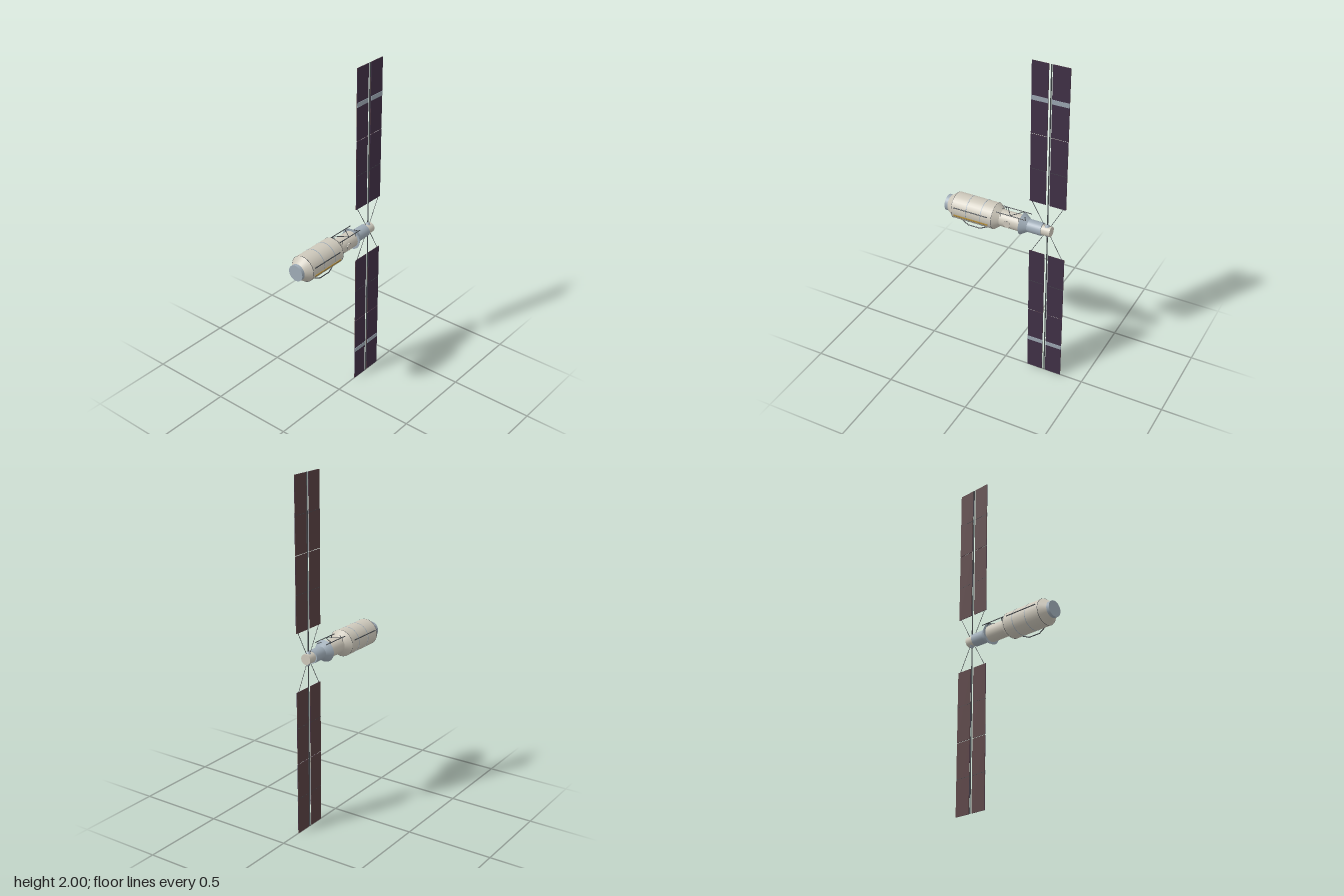
import * as THREE from 'three';

const material = (name, color, side = THREE.FrontSide) => {
  const m = new THREE.MeshStandardMaterial({ color, side });
  m.name = name;
  return m;
};

export function createModel() {
  const hull = material('hull beige', 0xcdc8bb);
  const blue = material('blue grey metal', 0x9eabb6);
  const dark = material('dark rail', 0x44484c);
  const gold = material('gold strip', 0xb08d3e);
  const cellFront = material('solar cell purple', 0x403046);
  const cellBack = material('solar back brown', 0x573f41);
  const band = material('pale panel band', 0x9aa5b0);

  const model = new THREE.Group();
  model.name = 'spaceStationModule';
  // everything on the module is placed relative to its long axis
  const craft = new THREE.Group();
  craft.name = 'craft';
  craft.position.y = 1;
  model.add(craft);

  const add = (name, geometry, mat, x = 0, y = 0, z = 0) => {
    const mesh = new THREE.Mesh(geometry, mat);
    mesh.name = name;
    mesh.position.set(x, y, z);
    craft.add(mesh);
    return mesh;
  };
  const box = (name, mat, x0, x1, y0, y1, z0, z1) =>
    add(name, new THREE.BoxGeometry(x1 - x0, y1 - y0, z1 - z0), mat,
      (x0 + x1) / 2, (y0 + y1) / 2, (z0 + z1) / 2);
  // hull section along x, from radius r0 to radius r1
  const section = (name, mat, x0, x1, r0, r1 = r0) => {
    const g = new THREE.CylinderGeometry(r1, r0, x1 - x0, 32);
    g.rotateZ(-Math.PI / 2);
    return add(name, g, mat, (x0 + x1) / 2);
  };
  // thin round bar between two points
  const rod = (name, a, b, r, mat = dark) => {
    const from = new THREE.Vector3(...a), to = new THREE.Vector3(...b);
    const dir = to.clone().sub(from);
    const mesh = add(name, new THREE.CylinderGeometry(r, r, dir.length(), 8), mat);
    mesh.position.copy(from).add(to).multiplyScalar(0.5);
    mesh.quaternion.setFromUnitVectors(new THREE.Vector3(0, 1, 0), dir.normalize());
    return mesh;
  };
  const path = (name, points, r) => {
    for (let i = 1; i < points.length; i++) rod(name, points[i - 1], points[i], r);
  };

  // pressure hull, from the docking end to the mast end
  section('dockingRing', blue, -0.364, -0.345, 0.047);
  section('rearCone', hull, -0.345, -0.305, 0.047, 0.076);
  section('mainHull', hull, -0.305, -0.055, 0.076);
  section('frontCone', hull, -0.055, -0.02, 0.076, 0.048);
  section('neck', hull, -0.02, 0.106, 0.048);
  section('skirt', blue, 0.105, 0.145, 0.062, 0.037);
  section('forwardTube', blue, 0.145, 0.228, 0.037);
  section('mastNode', hull, 0.228, 0.28, 0.03);

  // seam rings around the main hull
  for (const x of [-0.213, -0.122]) section('seamRing', blue, x - 0.002, x + 0.002, 0.0768);
  for (const x of [-0.305, -0.056]) section('hullEdgeRing', dark, x - 0.001, x + 0.001, 0.0765);

  // side rails and gold strip
  for (const s of [1, -1]) {
    rod('sideRail', [-0.29, 0.025, 0.0735 * s], [-0.08, 0.025, 0.0735 * s], 0.003);
  }
  box('goldStrip', gold, -0.288, -0.076, -0.027, -0.019, 0.068, 0.0765);
  rod('goldStripRail', [-0.29, -0.029, 0.0725], [-0.076, -0.029, 0.0725], 0.0015);

  // bowed boom under the hull
  path('lowerBoom', [[-0.27, -0.062, 0.033], [-0.215, -0.083, 0.044],
    [-0.14, -0.083, 0.044], [-0.09, -0.062, 0.033]], 0.003);

  // truss above the neck
  for (const z of [-0.037, 0.035]) {
    rod('trussRail', [-0.04, 0.052, z], [0.142, 0.052, z], 0.0025);
    for (const x of [-0.012, 0.098]) rod('trussPost', [x, 0.03, z], [x, 0.052, z], 0.002);
  }
  path('trussBrace', [[-0.028, 0.052, -0.01], [-0.005, 0.052, -0.037], [0.045, 0.052, 0.032],
    [0.095, 0.052, -0.037], [0.108, 0.052, -0.018]], 0.002);
  rod('trussBrace', [0.122, 0.052, 0.008], [0.137, 0.046, 0.028], 0.002);

  // round hatch on the front of the neck
  const hatch = add('hatch', new THREE.CylinderGeometry(0.021, 0.021, 0.01, 24), hull, 0.031, 0, 0.045);
  hatch.rotation.x = Math.PI / 2;
  const rim = add('hatchRim', new THREE.TorusGeometry(0.02, 0.0015, 6, 24), dark, 0.031, 0, 0.049);
  rim.scale.z = 0.7;

  // mast with both solar wings, mirrored above and below
  const mastX = 0.256, inner = 0.165, half = 0.5825, outer = 1;
  for (const s of [1, -1]) {
    const span = (name, mat, x0, x1, y0, y1, z0, z1) =>
      box(name, mat, x0, x1, Math.min(s * y0, s * y1), Math.max(s * y0, s * y1), z0, z1);
    rod('mast', [mastX, 0, 0], [mastX, s * outer, 0], 0.0035);
    const cap = add('mastSocket', new THREE.CylinderGeometry(0.006, 0.015, 0.014, 20), blue, mastX, s * 0.034, 0);
    if (s < 0) cap.rotation.x = Math.PI;
    for (const [x0, x1] of [[0.147, 0.242], [0.264, 0.362]]) {
      for (const [y0, y1] of [[inner, half - 0.002], [half + 0.002, outer]]) {
        span('solarPanelFront', cellFront, x0, x1, y0, y1, 0, 0.002);
        span('solarPanelBack', cellBack, x0, x1, y0, y1, -0.002, 0);
        const mid = (y0 + y1) / 2;
        span('panelFold', dark, x0, x1, mid - 0.001, mid + 0.001, -0.0025, 0.0025);
      }
      span('panelBand', band, x0, x1, 0.78, 0.806, 0.002, 0.004);
    }
    // bracing wires
    rod('braceWire', [0.238, s * 0.028, 0], [0.16, s * inner, 0], 0.0015);
    rod('braceWire', [0.272, s * 0.028, 0], [0.346, s * inner, 0], 0.0015);
  }
  return model;
}
